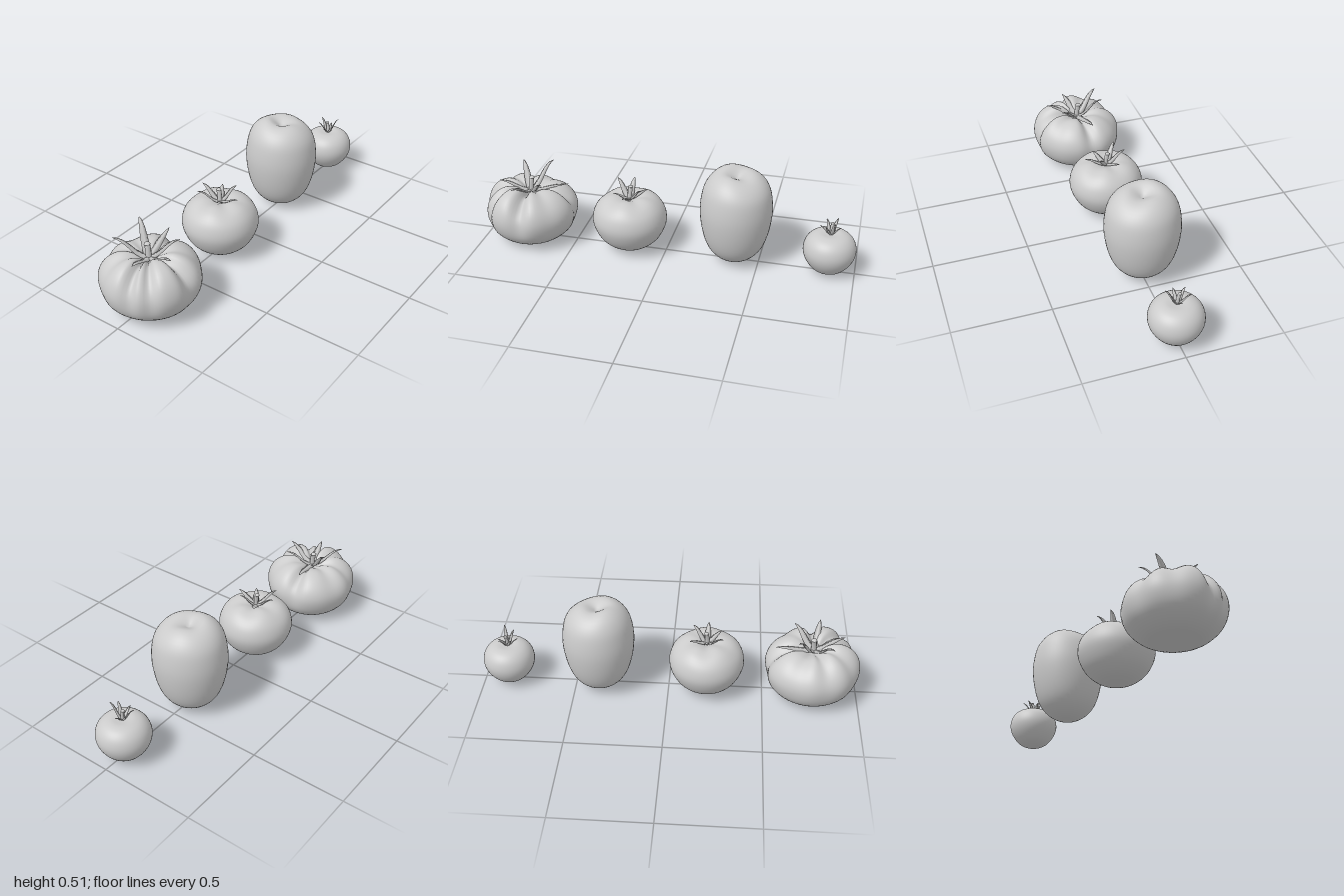
import * as THREE from 'three';
import { mergeVertices } from 'three/addons/utils/BufferGeometryUtils.js';

const skin = new THREE.MeshStandardMaterial({ color: 0xcccccc });
const leaf = new THREE.MeshStandardMaterial({ color: 0xcccccc, side: THREE.DoubleSide });

// Smooth fruit body: lathe a splined profile, then reshape every vertex with a rule
function fruitBody(profile, deform, segments = 48) {
  const curve = new THREE.SplineCurve(profile.map(([r, y]) => new THREE.Vector2(r, y)));
  const points = curve.getSpacedPoints(36);
  points.forEach((p) => { p.x = Math.max(p.x, 0); });
  points[0].x = points[36].x = 0;
  let geo = new THREE.LatheGeometry(points, segments);
  geo.deleteAttribute('uv');
  geo.deleteAttribute('normal');
  geo = mergeVertices(geo, 1e-5);
  const pos = geo.attributes.position;
  const v = new THREE.Vector3();
  for (let i = 0; i < pos.count; i++) {
    v.fromBufferAttribute(pos, i);
    deform(v, Math.atan2(v.x, v.z));
    pos.setXYZ(i, v.x, v.y, v.z);
  }
  geo.computeVertexNormals();
  const mesh = new THREE.Mesh(geo, skin);
  mesh.name = 'fruitBody';
  return mesh;
}

// Tapered sepal with a diamond section, curving from the crown out to its tip
function sepal([tx, tz, ty], baseY, width) {
  const reach = Math.hypot(tx, tz);
  const path = new THREE.CubicBezierCurve(
    new THREE.Vector2(0, baseY),
    new THREE.Vector2(reach * 0.45, baseY + 0.01),
    new THREE.Vector2(reach * 0.55, ty - 0.01),
    new THREE.Vector2(reach, ty));
  const steps = 9, verts = [], index = [];
  for (let i = 0; i <= steps; i++) {
    const t = i / steps;
    const p = path.getPoint(t), d = path.getTangent(t);
    const w = 0.5 * width * (1 - t) ** 0.7 * (0.75 + 0.7 * t) + 0.001;
    const h = w * 0.35;
    verts.push(w, p.y, p.x, 0, p.y + d.x * h, p.x - d.y * h,
      -w, p.y, p.x, 0, p.y - d.x * h, p.x + d.y * h);
    for (let k = 0; k < 4 && i < steps; k++) {
      const a = i * 4 + k, b = i * 4 + (k + 1) % 4;
      index.push(a, b, a + 4, b, b + 4, a + 4);
    }
  }
  const end = steps * 4;
  index.push(end, end + 1, end + 2, end, end + 2, end + 3);
  // winding runs so that the faces look outwards
  for (let i = 0; i < index.length; i += 3) {
    [index[i + 1], index[i + 2]] = [index[i + 2], index[i + 1]];
  }
  for (let i = index.length - 6; i < index.length; i += 3) {
    [index[i + 1], index[i + 2]] = [index[i + 2], index[i + 1]];
  }
  const geo = new THREE.BufferGeometry();
  geo.setAttribute('position', new THREE.Float32BufferAttribute(verts, 3));
  geo.setIndex(index);
  geo.rotateY(Math.atan2(tx, tz));
  geo.computeVertexNormals();
  const mesh = new THREE.Mesh(geo, leaf);
  mesh.name = 'sepal';
  return mesh;
}

// Star of sepals around a short, slightly leaning stem
function calyx(tips, baseY, width, stemTop, stemRadius) {
  const group = new THREE.Group();
  group.name = 'calyx';
  tips.forEach((tip) => group.add(sepal(tip, baseY, width)));
  const path = new THREE.QuadraticBezierCurve3(
    new THREE.Vector3(0, baseY - 0.02, 0),
    new THREE.Vector3(0, (baseY + stemTop) / 2, 0),
    new THREE.Vector3(0.004, stemTop, -0.01));
  const stem = new THREE.Mesh(new THREE.TubeGeometry(path, 6, stemRadius, 8), leaf);
  stem.name = 'stem';
  const cap = new THREE.Mesh(new THREE.SphereGeometry(stemRadius * 1.15, 8, 6), leaf);
  cap.name = 'stemEnd';
  cap.scale.y = 0.5;
  cap.position.copy(path.v2);
  group.add(stem, cap);
  return group;
}

function fruit(name, x, z, ...parts) {
  const group = new THREE.Group();
  group.name = name;
  group.position.set(x, 0, z);
  group.add(...parts);
  return group;
}

export function createModel() {
  const model = new THREE.Group();
  model.name = 'tomatoes';
  const smooth = THREE.MathUtils.smoothstep;

  // Ribbed tomato: grooves as [angle, depth, angular width]
  const grooves = [[0.03, 1, 0.2], [-0.88, 0.75, 0.16], [-1.3, 0.9, 0.16], [1.68, 0.8, 0.2],
    [-2.1, 0.4, 0.25], [-2.85, 0.5, 0.25], [2.75, 0.35, 0.3], [0.75, 0.25, 0.25]];
  const ribbed = fruitBody([[0, 0.012], [0.06, 0.004], [0.12, 0.004], [0.18, 0.035], [0.23, 0.09],
    [0.251, 0.165], [0.235, 0.235], [0.19, 0.288], [0.13, 0.312], [0.075, 0.302], [0.03, 0.268],
    [0, 0.258]], (v, phi) => {
    const r = Math.hypot(v.x, v.z);
    const up = smooth(v.y, 0.02, 0.24);
    const ring = smooth(r, 0, 0.09);
    let g = 0;
    for (const [a, depth, w] of grooves) {
      const d = Math.atan2(Math.sin(phi - a), Math.cos(phi - a)) / w;
      g += depth * Math.exp(-d * d);
    }
    const s = 1 - 0.13 * g * up * ring;
    v.x *= s;
    v.z *= s * (1 + 0.02 * Math.cos(phi));
    v.y -= 0.045 * g * ring * smooth(v.y, 0.16, 0.3);
    v.y += smooth(v.y, 0.12, 0.3) * ring * (0.012 * Math.cos(phi + 1) - 0.004);
  }, 96);
  model.add(fruit('ribbedTomato', -0.755, 0, ribbed, calyx([[0.2, -0.04, 0.31], [0.09, -0.13, 0.4],
    [0.1, 0.11, 0.36], [-0.04, 0.17, 0.345], [-0.16, 0.04, 0.33], [-0.09, -0.14, 0.375]],
  0.268, 0.05, 0.34, 0.014)));

  // Round tomato with gentle shoulders
  const round = fruitBody([[0, 0.002], [0.05, 0.007], [0.11, 0.032], [0.165, 0.085], [0.197, 0.165],
    [0.185, 0.235], [0.145, 0.282], [0.095, 0.301], [0.05, 0.297], [0.02, 0.284], [0, 0.28]],
  (v, phi) => { v.y += 0.004 * Math.cos(5 * phi) * smooth(v.y, 0.2, 0.3) * smooth(Math.hypot(v.x, v.z), 0, 0.1); });
  model.add(fruit('roundTomato', -0.2, 0, round, calyx([[0, -0.11, 0.36], [0.09, -0.05, 0.33],
    [0.075, 0.05, 0.365], [-0.005, 0.115, 0.34], [-0.075, 0.05, 0.335], [-0.085, -0.075, 0.365]],
  0.288, 0.042, 0.355, 0.012)));

  // Tall plum tomato with a dimpled, uneven top and no calyx
  const plum = fruitBody([[0, 0.002], [0.05, 0.01], [0.105, 0.043], [0.148, 0.1], [0.176, 0.19],
    [0.188, 0.3], [0.176, 0.4], [0.15, 0.456], [0.11, 0.492], [0.07, 0.503], [0.03, 0.487], [0, 0.468]],
  (v, phi) => {
    const top = smooth(v.y, 0.35, 0.5) * smooth(Math.hypot(v.x, v.z), 0, 0.08);
    v.y += top * (0.009 * Math.cos(phi + 2.3) + 0.004 * Math.cos(3 * phi + 1));
    v.z *= 1.035;
  });
  model.add(fruit('plumTomato', 0.37, -0.008, plum));

  // Small cherry tomato
  const cherry = fruitBody([[0, 0.002], [0.04, 0.007], [0.085, 0.031], [0.122, 0.08], [0.136, 0.13],
    [0.126, 0.178], [0.098, 0.211], [0.06, 0.225], [0.025, 0.222], [0, 0.218]], () => {});
  model.add(fruit('cherryTomato', 0.862, 0, cherry, calyx([[0.02, 0.055, 0.31], [0.05, -0.005, 0.26],
    [0.03, -0.062, 0.285], [-0.03, -0.05, 0.28], [-0.06, 0.0, 0.265], [-0.03, 0.05, 0.285]],
  0.22, 0.024, 0.278, 0.009)));

  return model;
}
